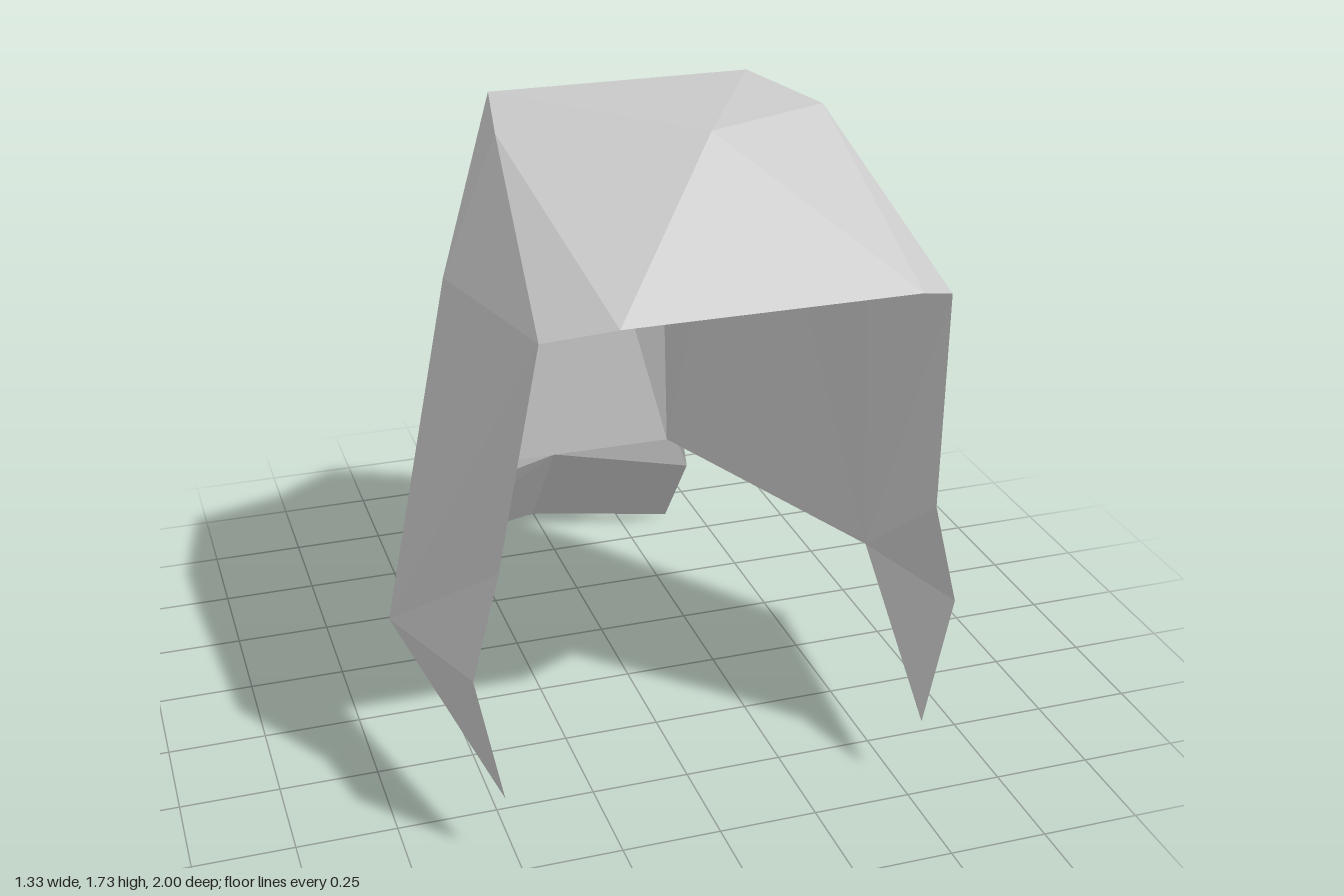
import * as THREE from 'three';

// Corner points of the left (+x) half; a leading '-' in a face mirrors a point.
const P = {
  crown: [0, 1.733, 0.6], temple: [0.4, 1.667, 0.267], rear: [0.333, 1.667, -0.067],
  fringe: [0.333, 1.467, 1], brow: [0.467, 1.4, 0.867], ear: [0.533, 1.333, 0.267],
  cheek: [0.533, 0.8, 0.733], jaw: [0.6, 0.533, 0.733], tip: [0.533, 0.2, 0.733],
  hem: [0.667, 0.333, 0.067], nape: [0.267, 0.467, -0.467],
  tie: [0.2, 1.333, -0.333], tieMid: [0, 1.4, -0.4],
  tail: [0.2, 1.267, -0.467], tailMid: [0, 1.333, -0.533],
  flare: [0.4, 0.267, -0.667], flareMid: [0, 0.333, -0.733],
  end: [0.4, 0, -0.867], endMid: [0, 0, -1],
};

function point(key, side) {
  const flip = key.startsWith('-') ? -1 : 1;
  const [x, y, z] = P[key.replace('-', '')];
  return [x * flip * side, y, z];
}

export function createModel() {
  const model = new THREE.Group();
  model.name = 'hair';
  const hair = new THREE.MeshStandardMaterial({ color: 0xcccccc, flatShading: true, side: THREE.DoubleSide });
  hair.name = 'hair grey';

  // Flat-shaded sheet from faces of three or four corners
  function sheet(name, faces, side = 1) {
    const pos = [];
    for (const face of faces) {
      const c = face.split(' ').map((k) => point(k, side));
      if (side < 0) c.reverse();
      // Keep the fold on the same diagonal when mirrored
      for (let i = 1; i < c.length - 1; i++) pos.push(...c[0], ...c[i], ...c[i + 1]);
    }
    const geo = new THREE.BufferGeometry();
    geo.setAttribute('position', new THREE.Float32BufferAttribute(pos, 3));
    geo.computeVertexNormals();
    const mesh = new THREE.Mesh(geo, hair);
    mesh.name = name;
    model.add(mesh);
  }

  // Panels crossing the middle
  sheet('fringe', ['crown -fringe fringe']);
  sheet('crownTop', ['crown rear -rear', 'rear tieMid -rear']);
  sheet('napePanel', ['tieMid nape -nape']);

  // Mirrored halves
  for (const [label, side] of [['left', 1], ['right', -1]]) {
    sheet(label + 'Crown', [
      'crown fringe temple', 'crown temple rear', 'rear tie tieMid',
      'temple fringe brow', 'temple brow ear', 'temple ear rear',
    ], side);
    sheet(label + 'SideLock', [
      'rear ear hem', 'ear brow hem', 'brow cheek hem', 'cheek jaw hem', 'jaw tip hem',
    ], side);
    sheet(label + 'Back', ['rear hem nape', 'rear nape tie', 'tie nape tieMid'], side);
    sheet(label + 'Ponytail', [
      'tie tail tailMid', 'tie tailMid tieMid',
      'tail flare tailMid', 'tailMid flare flareMid',
      'flare end flareMid', 'flareMid end endMid',
    ], side);
  }
  return model;
}
